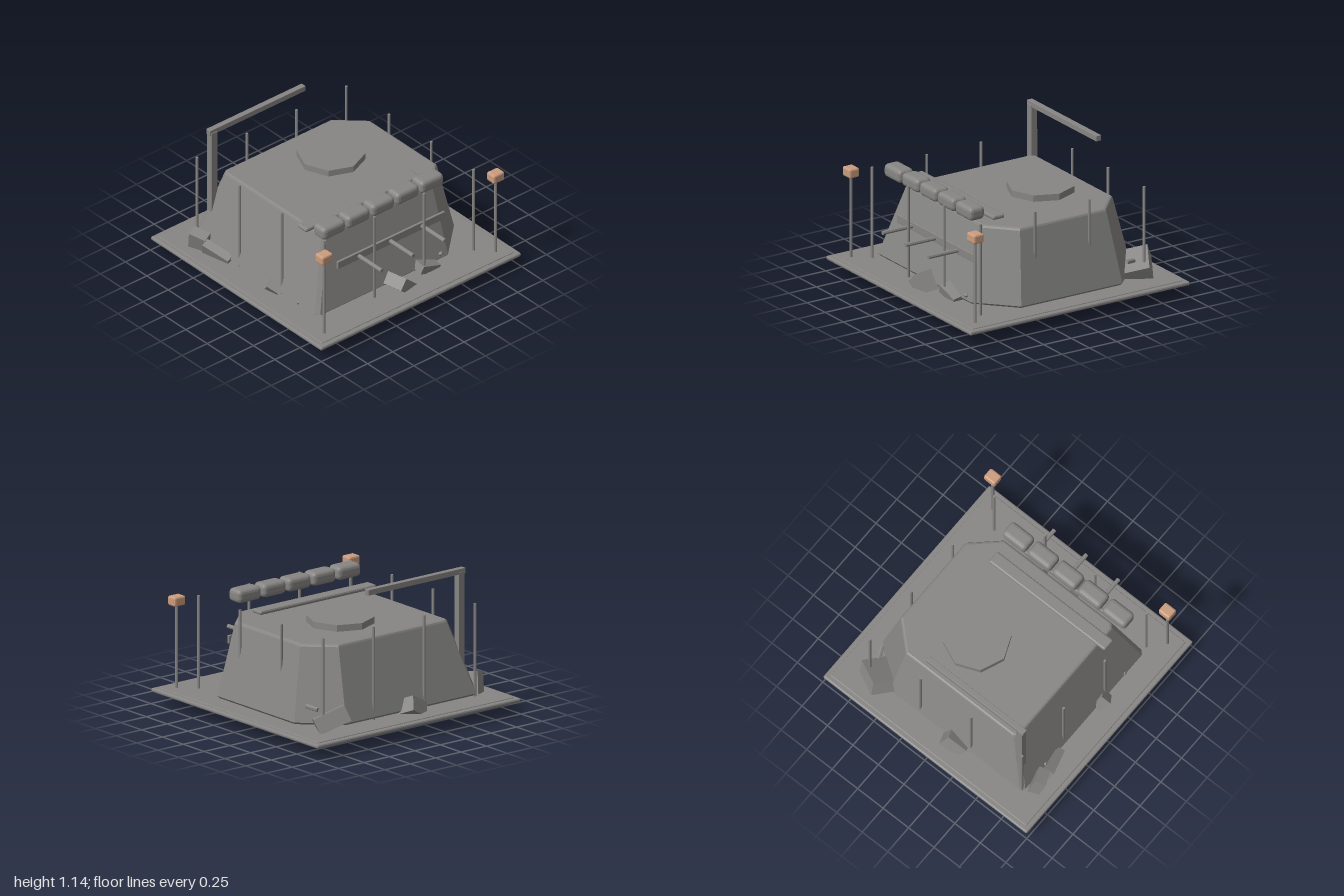
import * as THREE from 'three';
import { RoundedBoxGeometry } from 'three/addons/geometries/RoundedBoxGeometry.js';

const concrete = new THREE.MeshStandardMaterial({ color: 0x878684, flatShading: true });
concrete.name = 'concrete grey';
const amber = new THREE.MeshStandardMaterial({ color: 0xcc9c7d, flatShading: true });
amber.name = 'lamp orange';

export function createModel() {
  const model = new THREE.Group();
  model.name = 'fieldBunker';

  const add = (name, geo, x = 0, y = 0, z = 0, mat = concrete) => {
    const mesh = new THREE.Mesh(geo, mat);
    mesh.name = name;
    mesh.position.set(x, y, z);
    model.add(mesh);
    return mesh;
  };
  // Box with small bevels, given by its extents
  const block = (name, [x0, x1], [y0, y1], [z0, z1], bevel, mat = concrete, seg = 1) =>
    add(name, new RoundedBoxGeometry(x1 - x0, y1 - y0, z1 - z0, seg, bevel),
      (x0 + x1) / 2, (y0 + y1) / 2, (z0 + z1) / 2, mat);
  const rod = (name, x, z, y0, y1, r) =>
    add(name, new THREE.CylinderGeometry(r, r, y1 - y0, 8), x, (y0 + y1) / 2, z);
  // Tilted broken block whose lowest corner sits at height low
  const rock = (x, z, low, [w, h, d], tilt) => {
    const geo = new THREE.BoxGeometry(w, h, d);
    geo.applyMatrix4(new THREE.Matrix4().makeRotationFromEuler(new THREE.Euler(...tilt)));
    geo.computeBoundingBox();
    add('rubble', geo, x, low - geo.boundingBox.min.y, z);
  };

  // Ground slab with a slightly raised inner panel
  block('groundSlab', [-1, 1], [0.095, 0.127], [-1, 1], 0.012);
  block('slabPanel', [-0.96, 0.96], [0.11, 0.134], [-0.96, 0.96], 0.006);

  // Tapered bunker body with chamfered corners
  add('bunkerBody', bodyGeometry());

  // Roof hatch
  add('roofHatch', new THREE.CylinderGeometry(0.262, 0.262, 0.052, 8), 0.13, 0.787, -0.21);

  // Roof plank and sandbag row
  block('roofPlank', [-0.675, 0.465], [0.75, 0.785], [0.335, 0.442], 0.014);
  for (let i = 0; i < 5; i++) {
    const x = -0.585 + i * 0.245;
    block('sandbag', [x - 0.113, x + 0.113], [0.798, 0.905], [0.54, 0.678], 0.034, concrete, 2);
  }

  // Front rail with pegs
  block('frontRail', [-0.54, 0.53], [0.47, 0.535], [0.637, 0.657], 0.004);
  for (const x of [-0.33, -0.015, 0.3]) {
    add('railPeg', new THREE.CylinderGeometry(0.017, 0.017, 0.28, 8), x, 0.503, 0.785).rotation.x = Math.PI / 2;
  }

  // Rear gantry
  block('gantryPost', [-0.7, -0.642], [0.13, 1.12], [-0.69, -0.636], 0.003);
  block('gantryBeam', [-0.71, 0.245], [1.1, 1.145], [-0.688, -0.642], 0.003);

  // Ring of perimeter stakes
  const grid = [-0.75, -0.25, 0.245, 0.742];
  grid.forEach((x, i) => grid.forEach((z, j) => {
    if (i % 3 === 0 || j % 3 === 0) rod('stake', x, z, 0.13, 0.87, 0.011);
  }));

  // Front lamps on poles
  for (const x of [-0.857, 0.857]) {
    rod('lampPole', x, 0.865, 0.13, 0.79, 0.012);
    block('lamp', [x - 0.054, x + 0.054], [0.787, 0.863], [0.82, 0.91], 0.014, amber);
  }

  // Rubble leaning against the walls
  rock(0.03, 0.73, 0.002, [0.26, 0.1, 0.2], [0, 0.2, -0.72]);
  rock(0.3, 0.69, 0.09, [0.19, 0.07, 0.14], [0.2, 0, -0.35]);
  rock(-0.12, -0.78, 0.05, [0.18, 0.12, 0.13], [0.4, 0.35, 0.4]);
  rock(0.65, -0.74, 0.07, [0.26, 0.13, 0.22], [0.3, -0.6, -0.25]);
  rock(-0.82, -0.64, 0.05, [0.09, 0.22, 0.14], [0.2, 0.4, 0.2]);
  rock(-0.8, -0.45, 0.06, [0.07, 0.12, 0.24], [0.3, 0.3, 0.3]);
  rock(-0.77, 0.18, 0.08, [0.09, 0.12, 0.1], [0.6, 0.5, 0.4]);

  // Buried rubble poking out below the slab: x, z, lowest y
  const buried = [
    [0.57, 0.07, 0.05], [0.35, 0.3, 0.06], [0.32, 0.56, 0.07], [-0.28, 0.48, 0.03], [0.05, -0.37, 0.02],
    [-0.05, -0.57, 0.07], [-0.34, -0.13, 0.06], [-0.56, -0.26, 0.05], [-0.5, 0.12, 0.05], [0.7, 0.05, 0.04],
  ];
  buried.forEach(([x, z, low], i) => {
    const tilt = [0.5 + 0.15 * Math.sin(i * 2.1), i * 0.7, 0.5 + 0.15 * Math.cos(i * 1.7)];
    rock(x, z, low, [0.14 + 0.03 * Math.sin(i), 0.13, 0.13], tilt);
  });

  // Small debris around the walls
  const splinter = add('splinter', new THREE.CylinderGeometry(0.018, 0.018, 0.1, 6), 0.745, 0.29, -0.62);
  splinter.rotation.set(1.4, 0.4, 0, 'YXZ');
  for (const [x, y, z] of [[0.46, 0.195, 0.685], [-0.765, 0.18, -0.49], [-0.765, 0.17, 0.46]]) {
    add('pebble', new THREE.IcosahedronGeometry(0.02, 0), x, y, z);
  }
  return model;
}

// Rectangle with large cuts on the +x corners and small cuts on the -x corners
function outline(x0, x1, z0, z1, cutX, cutZ) {
  const c = 0.03;
  return [
    [x0 + c, z0], [x1 - cutX, z0], [x1, z0 + cutZ], [x1, z1 - cutZ],
    [x1 - cutX, z1], [x0 + c, z1], [x0, z1 - c], [x0, z0 + c],
  ];
}

// Rings from footprint to roof, with bevelled rims, joined and capped
function bodyGeometry() {
  const foot = outline(-0.775, 0.82, -0.77, 0.69, 0.29, 0.27);
  const roof = outline(-0.6, 0.705, -0.63, 0.555, 0.215, 0.2);
  const ring = (y, shape, s) => shape.map(([x, z]) => [0.04 + (x - 0.04) * s, y, -0.04 + (z + 0.04) * s]);
  const rings = [
    ring(0.143, foot, 0.98), ring(0.16, foot, 1),
    ring(0.725, roof, 1), ring(0.738, roof, 0.99), ring(0.744, roof, 0.97),
  ];
  const pos = [];
  const n = foot.length;
  for (let r = 0; r < rings.length - 1; r++) {
    for (let i = 0; i < n; i++) {
      const j = (i + 1) % n;
      const [a, b, A, B] = [rings[r][i], rings[r][j], rings[r + 1][i], rings[r + 1][j]];
      pos.push(...a, ...A, ...b, ...b, ...A, ...B);
    }
  }
  const base = rings[0], top = rings[rings.length - 1];
  for (let i = 1; i < n - 1; i++) {
    pos.push(...top[0], ...top[i + 1], ...top[i]);
    pos.push(...base[0], ...base[i], ...base[i + 1]);
  }
  const geo = new THREE.BufferGeometry();
  geo.setAttribute('position', new THREE.Float32BufferAttribute(pos, 3));
  geo.computeVertexNormals();
  return geo;
}
